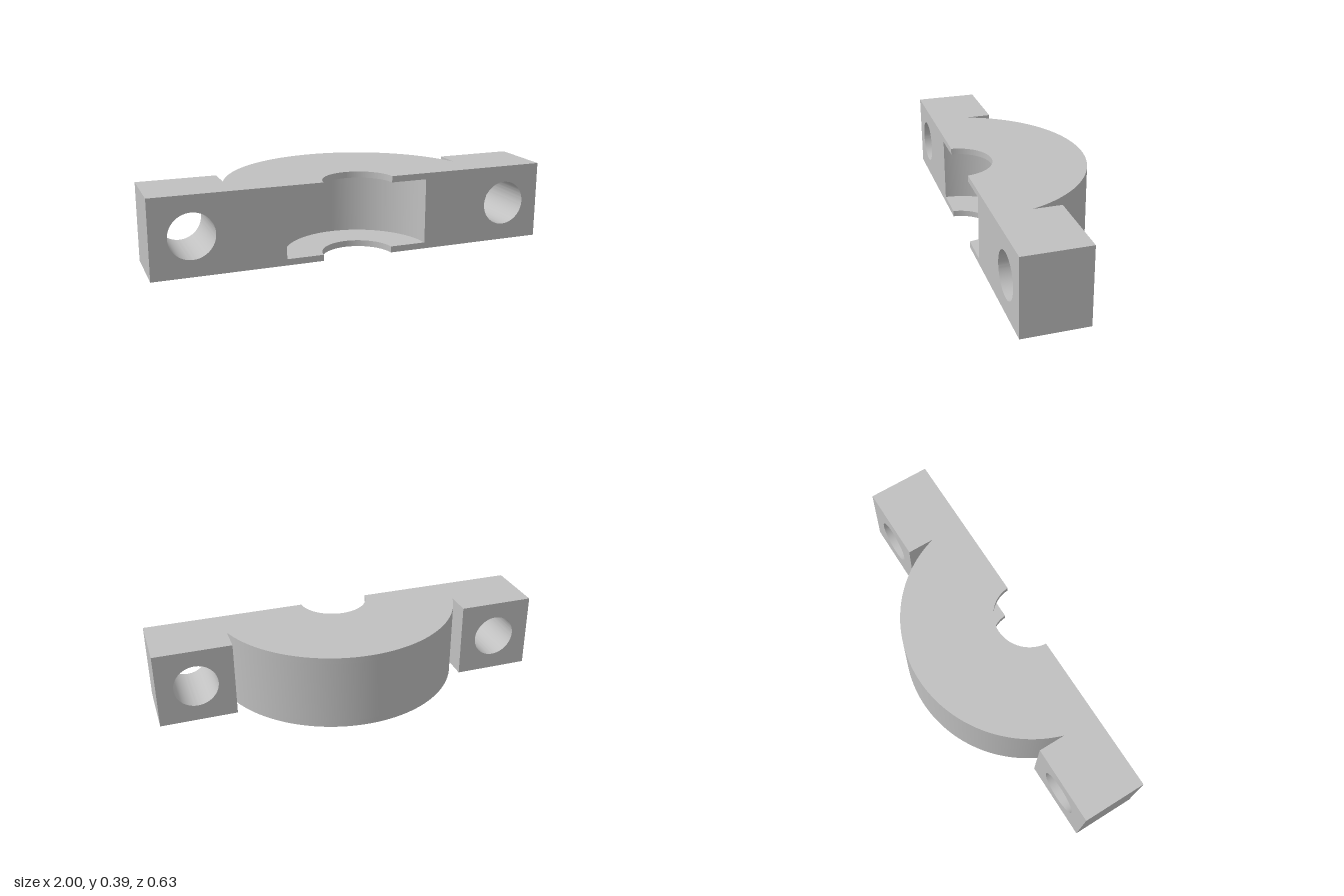
import * as THREE from 'three';
import { toCreasedNormals } from 'three/addons/utils/BufferGeometryUtils.js';

const HEIGHT = 0.387, LIP = 0.031, FRONT = 0.315, EAR_BACK = -0.007;
const AXIS = 0.328;                    // z of the shared bore axis, just ahead of the front face
const R_OUT = 0.643, R_BORE = 0.177, R_GROOVE = 0.36;
const EAR_IN = 0.612, HOLE_X = 0.805, HOLE_R = 0.111;

// Plan of the half-disc body with a round cut of the given radius (shape y = -z)
function bodyPlan(cut) {
  const s = new THREE.Shape();
  const a = Math.asin((AXIS - FRONT) / cut);
  const b = Math.acos(EAR_IN / R_OUT);
  const half = cut * Math.cos(a);
  s.moveTo(half, -FRONT);
  s.lineTo(EAR_IN, -FRONT);
  s.lineTo(EAR_IN, -AXIS + R_OUT * Math.sin(b));
  s.absarc(0, -AXIS, R_OUT, b, Math.PI - b, false);
  s.lineTo(-EAR_IN, -FRONT);
  s.lineTo(-half, -FRONT);
  s.absarc(0, -AXIS, cut, Math.PI - a, a, true);
  return s;
}

function extrude(shape, depth) {
  return new THREE.ExtrudeGeometry(shape, { depth, bevelEnabled: false, curveSegments: 48 });
}

// Keep only the walls of an extrusion, dropping its end caps
function wallsOnly(geo) {
  const { start, count } = geo.groups[1];
  const out = new THREE.BufferGeometry();
  for (const name of ['position', 'normal', 'uv']) {
    const at = geo.attributes[name];
    const part = at.array.slice(start * at.itemSize, (start + count) * at.itemSize);
    out.setAttribute(name, new THREE.BufferAttribute(part, at.itemSize));
  }
  return out;
}

export function createModel() {
  const group = new THREE.Group();
  group.name = 'bearingCap';
  const metal = new THREE.MeshStandardMaterial({ color: 0xc0c0c0 });
  metal.name = 'grey metal';

  const add = (name, geo) => {
    const mesh = new THREE.Mesh(toCreasedNormals(geo, 0.5), metal);
    mesh.name = name;
    group.add(mesh);
    return mesh;
  };

  // Lower and upper lips around the narrow bore
  for (const [name, y] of [['lowerLip', 0], ['upperLip', HEIGHT - LIP]]) {
    add(name, extrude(bodyPlan(R_BORE), LIP).rotateX(-Math.PI / 2)).position.y = y;
  }

  // Middle walls with the wide inner groove
  const walls = wallsOnly(extrude(bodyPlan(R_GROOVE), HEIGHT - 2 * LIP));
  add('groovedBody', walls.rotateX(-Math.PI / 2)).position.y = LIP;

  // Mounting ears with a bolt hole running front to back
  for (const [name, side] of [['leftEar', 1], ['rightEar', -1]]) {
    const x0 = side > 0 ? EAR_IN : -1, x1 = side > 0 ? 1 : -EAR_IN;
    const ear = new THREE.Shape([
      new THREE.Vector2(x0, 0), new THREE.Vector2(x1, 0),
      new THREE.Vector2(x1, HEIGHT), new THREE.Vector2(x0, HEIGHT),
    ]);
    const hole = new THREE.Path();
    hole.absarc(side * HOLE_X, HEIGHT / 2, HOLE_R, 0, Math.PI * 2, true);
    ear.holes.push(hole);
    add(name, extrude(ear, FRONT - EAR_BACK)).position.z = EAR_BACK;
  }
  return group;
}
